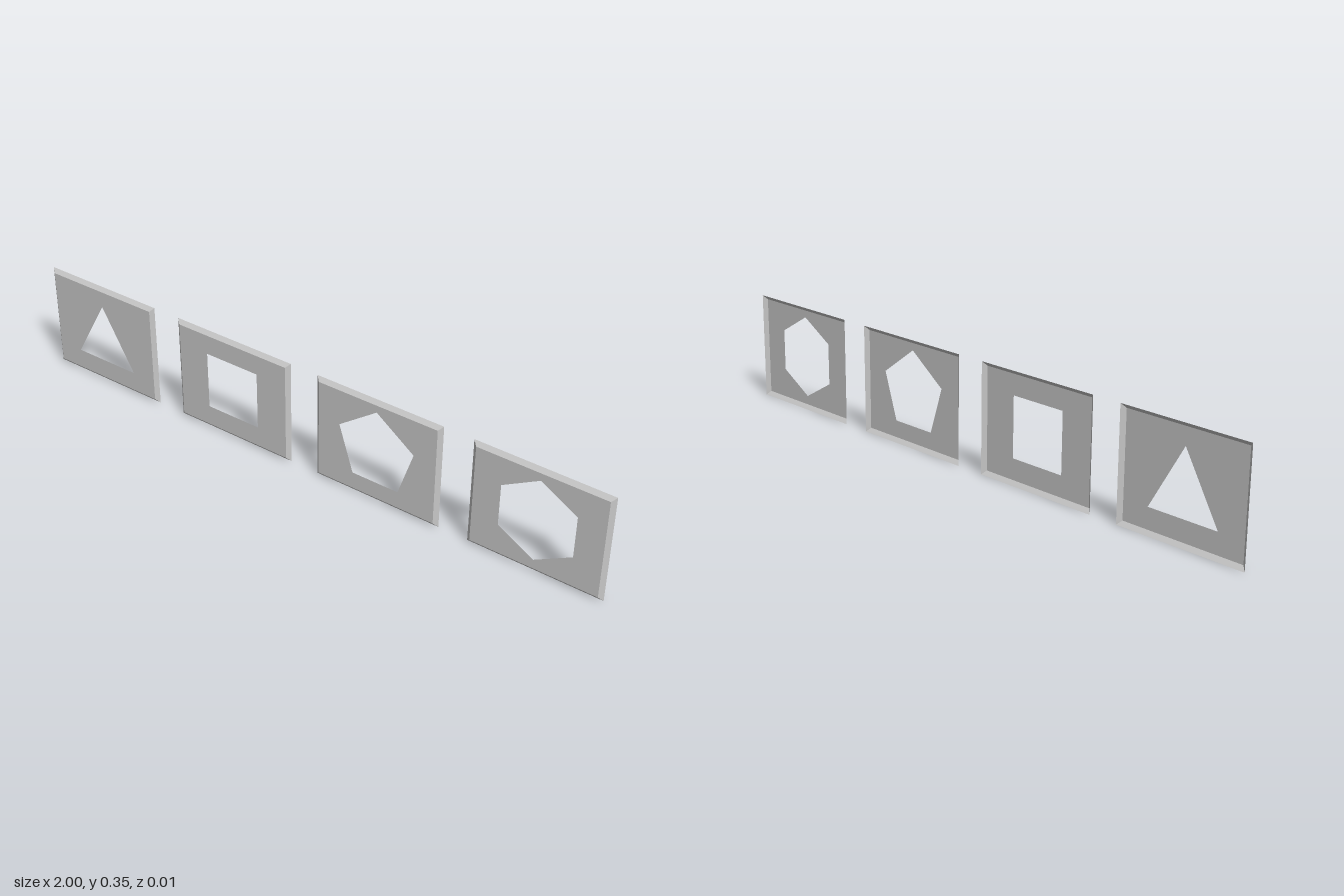
import * as THREE from 'three';

const W = 0.428, H = 0.346, INSET = 0.013, FRONT = 0.006, BACK = -0.005;

// Corners of a rectangle about the plate centre, counter-clockwise
function corners(inset) {
  const x = W / 2 - inset, y = H / 2 - inset;
  return [[-x, -y], [x, -y], [x, y], [-x, y]].map(([a, b]) => new THREE.Vector2(a, b));
}

// Regular polygon with a vertex (or, for the square, an edge) at the top
function polygonHole(sides, radius, cy) {
  const start = Math.PI / 2 + (sides === 4 ? Math.PI / 4 : 0);
  return new THREE.Path(Array.from({ length: sides }, (_, i) => {
    const a = start - (i * 2 * Math.PI) / sides;
    return new THREE.Vector2(radius * Math.cos(a), cy + radius * Math.sin(a));
  }));
}

// Plates lean very slightly forward towards the top
function lean(geometry) {
  const p = geometry.attributes.position;
  for (let i = 0; i < p.count; i++) p.setZ(i, p.getZ(i) + p.getY(i) * 0.006);
  geometry.computeVertexNormals();
  return geometry;
}

// Four sloping strips from the front face back to the open rim
function rimGeometry() {
  const inner = corners(INSET), outer = corners(0), pos = [];
  for (let i = 0; i < 4; i++) {
    const j = (i + 1) % 4;
    const a = [outer[i].x, outer[i].y, BACK], b = [outer[j].x, outer[j].y, BACK];
    const c = [inner[j].x, inner[j].y, FRONT], d = [inner[i].x, inner[i].y, FRONT];
    pos.push(...a, ...b, ...c, ...a, ...c, ...d);
  }
  const g = new THREE.BufferGeometry();
  g.setAttribute('position', new THREE.Float32BufferAttribute(pos, 3));
  return lean(g);
}

export function createModel() {
  const model = new THREE.Group();
  model.name = 'shapePlates';
  const material = new THREE.MeshStandardMaterial({
    color: 0xcccccc, flatShading: true, side: THREE.DoubleSide,
  });
  const rim = rimGeometry();
  const plates = [
    { name: 'trianglePlate', sides: 3, holeY: 0.145 },
    { name: 'squarePlate', sides: 4, holeY: 0.174 },
    { name: 'pentagonPlate', sides: 5, holeY: 0.176 },
    { name: 'hexagonPlate', sides: 6, holeY: 0.176 },
  ];
  plates.forEach(({ name, sides, holeY }, i) => {
    const plate = new THREE.Group();
    plate.name = name;
    plate.position.set(-0.786 + i * 0.524, H / 2, 0);

    // Front face with its cut-out
    const shape = new THREE.Shape(corners(INSET));
    shape.holes.push(polygonHole(sides, 0.134, holeY - H / 2));
    const face = new THREE.Mesh(lean(new THREE.ShapeGeometry(shape).translate(0, 0, FRONT)), material);
    face.name = 'face';

    // Bevelled rim, open at the back
    const edge = new THREE.Mesh(rim, material);
    edge.name = 'rim';
    plate.add(face, edge);
    model.add(plate);
  });
  return model;
}
